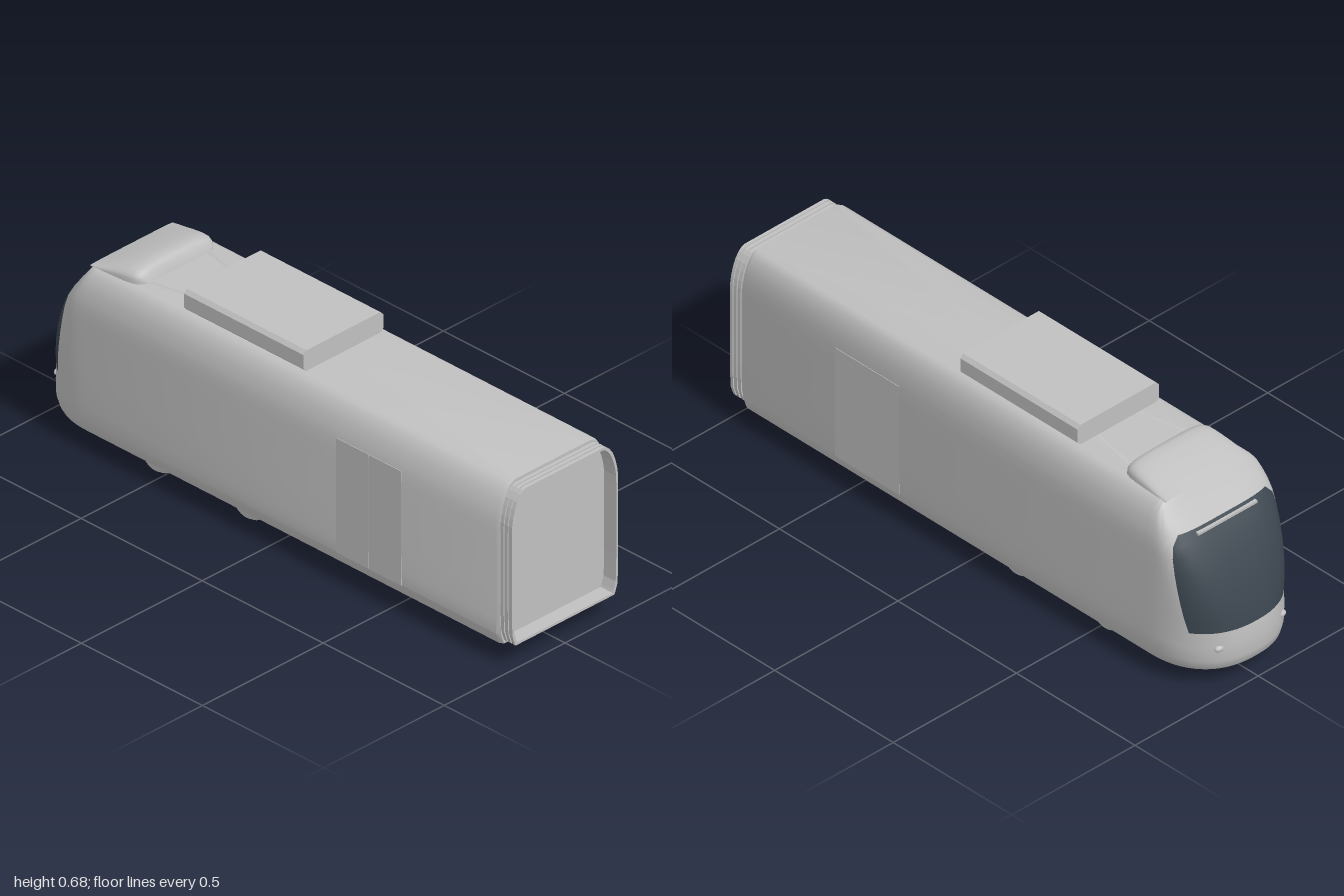
import * as THREE from 'three';
import { toCreasedNormals } from 'three/addons/utils/BufferGeometryUtils.js';

// Height, half width and nose tip (z) at each level of the body shell
const LEVELS = [
  [0.063, 0.210, -0.984], [0.072, 0.214, -0.993], [0.1, 0.223, -0.999], [0.15, 0.225, -1],
  [0.2, 0.226, -0.996], [0.25, 0.226, -0.986], [0.3, 0.226, -0.971], [0.35, 0.226, -0.953],
  [0.4, 0.226, -0.931], [0.45, 0.226, -0.904], [0.487, 0.225, -0.879], [0.515, 0.221, -0.857],
  [0.545, 0.213, -0.833], [0.57, 0.203, -0.813], [0.59, 0.189, -0.798], [0.6, 0.178, -0.791],
  [0.605, 0.165, -0.787],
];
const REAR = 0.95, NOSE = -0.76, GLASS_LOW = 0.2, GLASS_TOP = 0.515;
const SIDE_STEPS = 8, GLASS_STEPS = 10;

const clamp01 = (v) => Math.min(1, Math.max(0, v));

// One horizontal outline of the body; a column always lies on the windscreen edge
function outline([y, w, tip]) {
  const k = clamp01((y - GLASS_LOW) / (GLASS_TOP - GLASS_LOW));
  const n = 2.3 + 1.7 * k;
  const edge = THREE.MathUtils.lerp(-0.905, -0.845, k);
  const f = Math.min(0.88, (edge - NOSE) / (tip - NOSE));
  const tEdge = Math.asin(Math.pow(f, n / 2));
  const half = [[w - 0.008, REAR], [w, REAR - 0.012]];
  const add = (t) => half.push([
    w * Math.pow(Math.max(0, Math.cos(t)), 2 / n),
    NOSE + (tip - NOSE) * Math.pow(Math.sin(t), 2 / n),
  ]);
  for (let i = 0; i <= SIDE_STEPS; i++) add(tEdge * i / SIDE_STEPS);
  for (let i = 1; i <= GLASS_STEPS; i++) add(tEdge + (Math.PI / 2 - tEdge) * i / GLASS_STEPS);
  const mirrored = half.slice(0, -1).reverse().map(([x, z]) => [-x, z]);
  return [...half, ...mirrored].map(([x, z]) => [x, y, z]);
}

function bodyGeometry() {
  const rings = LEVELS.map(outline);
  const n = rings[0].length, rows = rings.length;
  const pos = rings.flat(2);
  const shell = [], glass = [];
  const g0 = 2 + SIDE_STEPS, g1 = n - 1 - g0;
  for (let i = 0; i < rows - 1; i++) {
    const glassRow = LEVELS[i][0] >= GLASS_LOW && LEVELS[i + 1][0] <= GLASS_TOP;
    for (let j = 0; j < n; j++) {
      const k = (j + 1) % n;
      const a = i * n + j, b = i * n + k, c = b + n, d = a + n;
      (glassRow && j >= g0 && j < g1 ? glass : shell).push(a, b, c, a, c, d);
    }
  }
  // Roof and floor
  const bottom = pos.length / 3, top = bottom + 1;
  pos.push(0, LEVELS[0][0], 0, 0, LEVELS[rows - 1][0], 0);
  for (let j = 0; j < n; j++) {
    const k = (j + 1) % n, r = (rows - 1) * n;
    shell.push(bottom, k, j, top, r + j, r + k);
  }
  const geo = new THREE.BufferGeometry();
  geo.setAttribute('position', new THREE.Float32BufferAttribute(pos, 3));
  geo.setIndex([...shell, ...glass]);
  geo.addGroup(0, shell.length, 0);
  geo.addGroup(shell.length, glass.length, 1);
  return toCreasedNormals(geo, 0.6);
}

// Body cross-section scaled about its middle, for the gangway bellows
function sectionPoints(sx, sy) {
  const right = LEVELS.map(([y, w]) => new THREE.Vector2(w * sx, 0.338 + (y - 0.334) * sy));
  const left = right.map((p) => new THREE.Vector2(-p.x, p.y)).reverse();
  return [...right, ...left];
}

function frameGeometry(sx, sy, depth) {
  const shape = new THREE.Shape(sectionPoints(sx, sy));
  shape.holes.push(new THREE.Path(sectionPoints(0.94, 0.93)));
  return new THREE.ExtrudeGeometry(shape, { depth, bevelEnabled: false });
}

// Low roof hump made of arched sections: z, half width, crown height
function humpGeometry() {
  const sections = [
    [-0.79, 0.172, 0.604], [-0.75, 0.172, 0.619], [-0.7, 0.17, 0.636], [-0.66, 0.168, 0.646],
    [-0.63, 0.165, 0.65], [-0.61, 0.157, 0.645], [-0.598, 0.145, 0.632], [-0.59, 0.125, 0.602],
  ];
  const N = 20, base = 0.6, pos = [], idx = [];
  for (const [z, w, top] of sections) {
    for (let i = 0; i <= N; i++) {
      const t = Math.PI * i / N, c = Math.cos(t);
      pos.push(Math.sign(c) * w * Math.pow(Math.abs(c), 0.5),
        base + (top - base) * Math.pow(Math.max(0, Math.sin(t)), 0.6), z);
    }
  }
  for (let s = 0; s < sections.length - 1; s++) {
    for (let i = 0; i < N; i++) {
      const a = s * (N + 1) + i, d = a + N + 1;
      idx.push(a, a + 1, d, a + 1, d + 1, d);
    }
  }
  const geo = new THREE.BufferGeometry();
  geo.setAttribute('position', new THREE.Float32BufferAttribute(pos, 3));
  geo.setIndex(idx);
  geo.computeVertexNormals();
  return geo;
}

export function createModel() {
  const paint = new THREE.MeshStandardMaterial({ color: 0xc0c0c0 });
  paint.name = 'greyPaint';
  const glass = new THREE.MeshStandardMaterial({ color: 0x3c464f });
  glass.name = 'darkGlass';
  const humpPaint = paint;

  const model = new THREE.Group();
  model.name = 'tramCar';
  const add = (name, geo, x = 0, y = 0, z = 0, mat = paint) => {
    const mesh = new THREE.Mesh(geo, mat);
    mesh.name = name;
    mesh.position.set(x, y, z);
    model.add(mesh);
    return mesh;
  };

  add('bodyAndWindscreen', bodyGeometry(), 0, 0, 0, [paint, glass]);

  // Gangway bellows: a sleeve with three ribs
  add('bellowsSleeve', frameGeometry(0.96, 0.945, 0.048), 0, 0, 0.95);
  for (const z of [0.955, 0.972, 0.989]) add('bellowsRib', frameGeometry(0.975, 0.96, 0.011), 0, 0, z);

  // Roof equipment box with chamfered long edges
  const W = 0.165, C = 0.012, Y0 = 0.604, Y1 = 0.675;
  const box = new THREE.Shape([
    [-W + C, Y0], [W - C, Y0], [W, Y0 + C], [W, Y1 - C],
    [W - C, Y1], [-W + C, Y1], [-W, Y1 - C], [-W, Y0 + C],
  ].map(([x, y]) => new THREE.Vector2(x, y)));
  add('roofBox', new THREE.ExtrudeGeometry(box, { depth: 0.495, bevelEnabled: false }), 0, 0, -0.41);

  add('roofHump', humpGeometry(), 0, 0, 0, humpPaint);

  // Slim bar across the top of the windscreen
  add('windscreenBar', new THREE.BoxGeometry(0.24, 0.008, 0.014), 0, 0.503, -0.866);

  for (const side of [-1, 1]) {
    // Two thin door leaves
    for (const z of [0.3475, 0.4825]) {
      add('doorLeaf', new THREE.BoxGeometry(0.004, 0.39, 0.133), side * 0.2245, 0.295, z);
    }
    // Small lamp bumps on the nose
    add('headlamp', new THREE.SphereGeometry(0.014, 16, 12), side * 0.125, 0.145, -0.966)
      .scale.set(1.3, 0.8, 0.8);
  }

  // Wheels with a narrow flange on the tread, and axles
  const profile = [[0, -0.013], [0.05, -0.013], [0.06, -0.01], [0.063, 0.002], [0.069, 0.004],
    [0.069, 0.007], [0.058, 0.013], [0, 0.013]].map(([r, h]) => new THREE.Vector2(r, h));
  const wheel = toCreasedNormals(new THREE.LatheGeometry(profile, 32), 0.5);
  wheel.rotateZ(Math.PI / 2);
  const axle = new THREE.CylinderGeometry(0.008, 0.008, 0.3, 12).rotateZ(Math.PI / 2);
  for (const z of [-0.15, -0.527]) {
    add('axle', axle, 0, 0.064, z);
    for (const side of [-1, 1]) {
      add('wheel', wheel, side * 0.156, 0.069, z).rotation.y = side > 0 ? 0 : Math.PI;
    }
  }
  return model;
}
